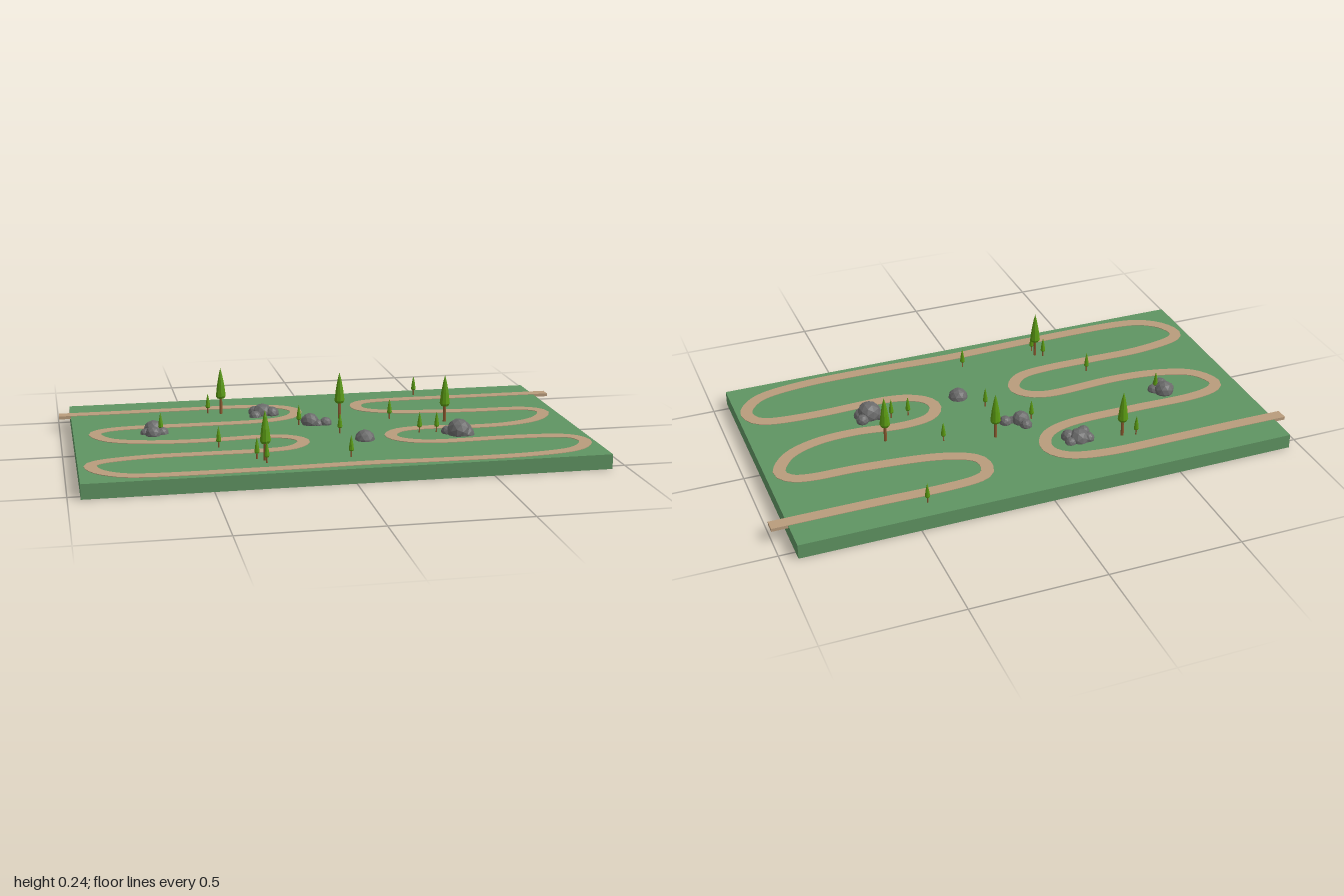
import * as THREE from 'three';

const mat = (color, flat = true) => new THREE.MeshStandardMaterial({ color, flatShading: flat });
const GROUND = 0.055;

// Flat-topped road with a rectangular section swept along a curve
function roadGeometry(curve, width, bottom, top, steps) {
  const pos = [], idx = [];
  for (let i = 0; i <= steps; i++) {
    const p = curve.getPointAt(i / steps), t = curve.getTangentAt(i / steps);
    const nx = -t.y * width / 2, nz = t.x * width / 2;
    for (const [s, y] of [[-1, bottom], [-1, top], [1, top], [1, bottom]])
      pos.push(p.x + s * nx, y, p.y + s * nz);
    if (i === steps) continue;
    for (let k = 0; k < 4; k++) {
      const a = i * 4 + k, b = i * 4 + (k + 1) % 4;
      idx.push(a, b, a + 4, b, b + 4, a + 4);
    }
  }
  const e = steps * 4;
  idx.push(0, 2, 1, 0, 3, 2, e, e + 1, e + 2, e, e + 2, e + 3);
  const g = new THREE.BufferGeometry();
  g.setAttribute('position', new THREE.Float32BufferAttribute(pos, 3));
  g.setIndex(idx);
  g.computeVertexNormals();
  return g;
}

export function createModel() {
  const model = new THREE.Group();
  model.name = 'parkBoard';
  const add = (parent, name, geo, material, x, y, z) => {
    const m = new THREE.Mesh(geo, material);
    m.name = name;
    m.position.set(x, y, z);
    parent.add(m);
    return m;
  };

  // Ground slab
  add(model, 'ground', new THREE.BoxGeometry(1.895, GROUND, 1.075), mat(0x5f9462), -0.0075, GROUND / 2, -0.002);

  // Winding road: left half, bottom run, right half
  const left = [[-1, -0.4], [-0.8, -0.398], [-0.55, -0.4], [-0.28, -0.398], [-0.13, -0.365], [-0.075, -0.29], [-0.12, -0.2],
    [-0.25, -0.158], [-0.5, -0.155], [-0.72, -0.158], [-0.84, -0.135], [-0.875, -0.08], [-0.82, 0.01], [-0.68, 0.06],
    [-0.5, 0.075], [-0.25, 0.062], [-0.15, 0.095], [-0.122, 0.16], [-0.18, 0.23], [-0.3, 0.25], [-0.5, 0.25],
    [-0.7, 0.25], [-0.87, 0.282], [-0.912, 0.34], [-0.86, 0.43], [-0.72, 0.48], [-0.3, 0.483]];
  const right = [[0.05, 0.475], [0.3, 0.485], [0.6, 0.485], [0.8, 0.455], [0.885, 0.39], [0.9, 0.32], [0.84, 0.262],
    [0.65, 0.245], [0.37, 0.25], [0.25, 0.21], [0.213, 0.14], [0.26, 0.07], [0.38, 0.05], [0.55, 0.07], [0.7, 0.06],
    [0.82, 0.01], [0.885, -0.08], [0.86, -0.14], [0.78, -0.163], [0.6, -0.168], [0.35, -0.195], [0.21, -0.245],
    [0.175, -0.31], [0.21, -0.378], [0.35, -0.398], [0.65, -0.395], [1, -0.395]];
  const curve = new THREE.SplineCurve([...left, ...right].map(p => new THREE.Vector2(...p)));
  curve.arcLengthDivisions = 1000;
  const road = add(model, 'road', roadGeometry(curve, 0.046, 0.045, GROUND + 0.002, 320), mat(0xb99c7c), 0, 0, 0);
  road.material.side = THREE.DoubleSide;

  // Trees: a trunk and a tapered crown, in two sizes
  const leaf = mat(0x5a9a12), bark = mat(0x8a5a30);
  const tree = (name, height, radius, crownBase) => {
    const h = height - crownBase;
    const crown = new THREE.LatheGeometry(
      [[0, 0], [0.75, 0], [1, 0.08], [0.72, 0.45], [0.35, 0.78], [0, 1]].map(([r, y]) => new THREE.Vector2(r * radius, y * h)), 9);
    const trunk = new THREE.CylinderGeometry(radius * 0.27, radius * 0.32, crownBase + 0.01, 8);
    return (x, z) => {
      const g = new THREE.Group();
      g.name = name;
      g.position.set(x, GROUND, z);
      add(g, 'trunk', trunk, bark, 0, crownBase / 2, 0);
      add(g, 'crown', crown, leaf, 0, crownBase, 0);
      model.add(g);
    };
  };
  const tall = tree('tallTree', 0.184, 0.02, 0.063);
  const small = tree('smallTree', 0.08, 0.0095, 0.022);
  [[-0.37, -0.31], [0.075, -0.15], [0.465, -0.025], [-0.298, 0.37]].forEach(p => tall(...p));
  [[-0.42, -0.325], [0.45, -0.46], [0.265, -0.105], [-0.098, -0.08], [0.033, 0.067], [-0.44, 0.175], [0.33, 0.115],
    [0.395, 0.12], [0.01, 0.385], [-0.325, 0.35], [-0.298, 0.405], [-0.63, -0.06]].forEach(p => small(...p));

  // Rock clusters: each rock is x, z, radius, centre height above ground
  const stone = mat(0x6a6a6a), rockGeo = new THREE.IcosahedronGeometry(1, 1);
  const clusters = [
    [[-0.21, -0.275, 0.042, 0], [-0.175, -0.255, 0.028, 0.005], [-0.245, -0.235, 0.024, 0], [-0.24, -0.29, 0.024, 0.005], [-0.17, -0.29, 0.022, 0]],
    [[-0.053, -0.085, 0.034, 0.01], [0.005, -0.072, 0.024, 0.005], [-0.06, -0.12, 0.024, 0.003], [-0.025, -0.07, 0.02, 0]],
    [[-0.655, -0.085, 0.038, 0.008], [-0.66, -0.04, 0.03, 0.005], [-0.625, -0.06, 0.026, 0], [-0.685, -0.065, 0.022, 0]],
    [[0.107, 0.17, 0.038, 0]],
    [[0.47, 0.163, 0.046, 0.014], [0.507, 0.128, 0.024, 0.008], [0.432, 0.14, 0.024, 0.005], [0.495, 0.17, 0.034, 0]],
  ];
  clusters.forEach((rocks, c) => {
    const g = new THREE.Group();
    g.name = 'rockCluster' + (c + 1);
    rocks.forEach(([x, z, r, y], i) => {
      const m = add(g, 'rock', rockGeo, stone, x, GROUND + y, z);
      m.scale.setScalar(r);
      m.rotation.set(i * 0.7 + c, i * 1.3 + c * 0.6, 0.4 * i);
    });
    model.add(g);
  });
  return model;
}
